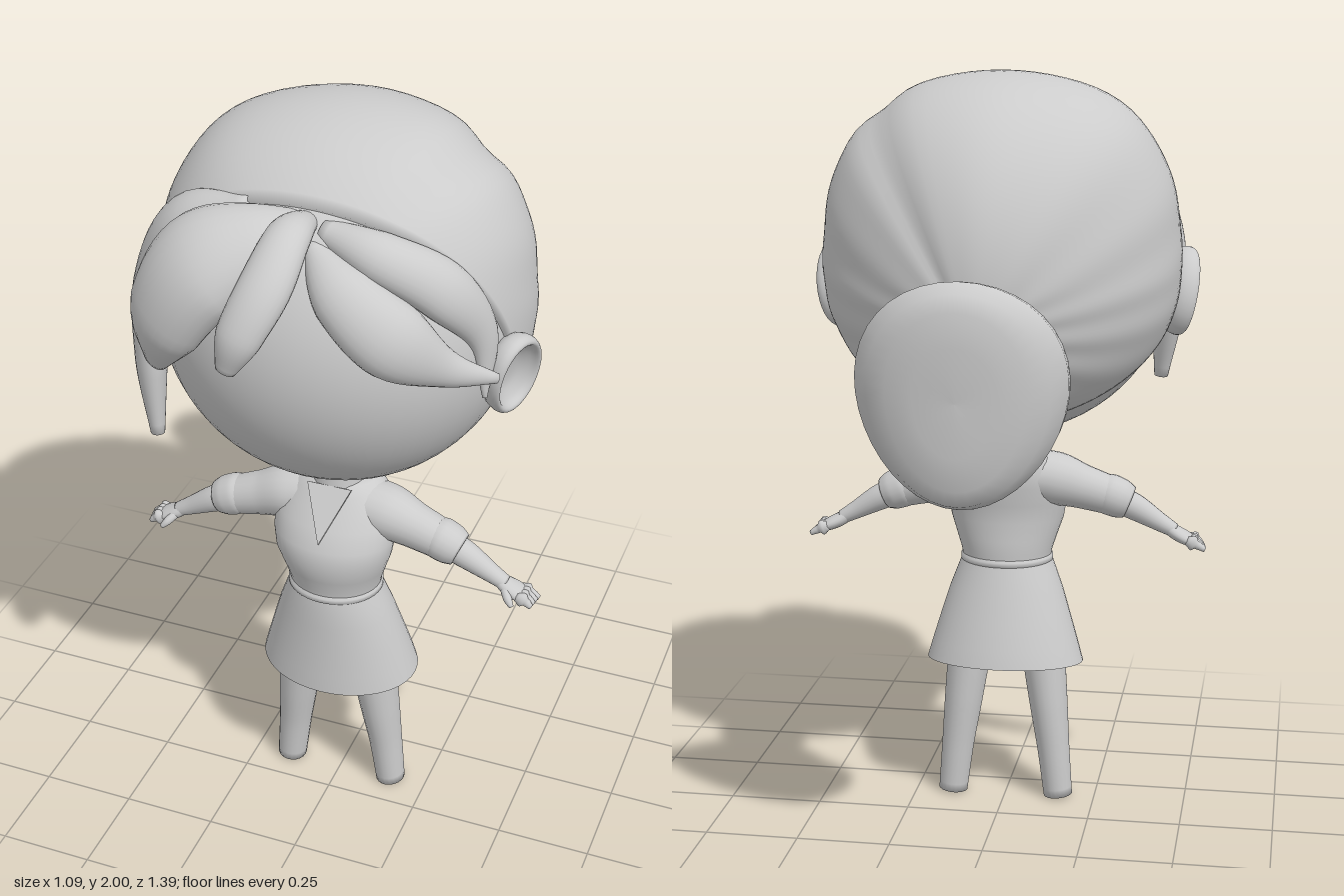
import * as THREE from 'three';

const V = (x, y, z) => new THREE.Vector3(x, y, z);
const material = new THREE.MeshStandardMaterial({ color: 0xcccccc });
const openMaterial = new THREE.MeshStandardMaterial({ color: 0xcccccc, side: THREE.DoubleSide });

function add(group, name, geometry, mat = material) {
  const mesh = new THREE.Mesh(geometry, mat);
  mesh.name = name;
  group.add(mesh);
  return mesh;
}

// Smooth surface through closed rows of points (rows run around the direction of travel)
function skin(rows) {
  const n = rows[0].length, index = [];
  for (let i = 0; i < rows.length - 1; i++) {
    for (let j = 0; j < n; j++) {
      const k = (j + 1) % n, a = i * n + j, b = i * n + k;
      index.push(a, b, a + n, b, b + n, a + n);
    }
  }
  const g = new THREE.BufferGeometry().setFromPoints(rows.flat());
  g.setIndex(index);
  g.computeVertexNormals();
  return g;
}

// One elliptical row around centre c with half-axes u and v
function ring(c, u, v, n = 32) {
  return Array.from({ length: n }, (_, j) => {
    const a = (j / n) * Math.PI * 2;
    return c.clone().addScaledVector(u, Math.cos(a)).addScaledVector(v, Math.sin(a));
  });
}

// Upright body sections [y, zCentre, halfWidth, halfDepth]; tilt slopes the lowest one
function upright(sections, tilt = 0) {
  const rows = sections.map(([y, z, rx, rz]) => ring(V(0, y, z), V(rx, 0, 0), V(0, 0, -rz), 40));
  rows.forEach((row, i) => row.forEach(p => {
    p.y -= tilt * (p.z - sections[i][1]) * (1 - i / (rows.length - 1));
  }));
  return skin(rows);
}

// Swept form: path points, [halfWidth, halfThickness] along it, out(point) = facing direction
function sweep(path, sizes, out, steps = 24, n = 20) {
  const curve = new THREE.CatmullRomCurve3(path.map(p => V(...p)));
  const size = new THREE.CatmullRomCurve3(sizes.map(([w, t]) => V(w, t, 0)));
  const rows = [];
  for (let i = 0; i <= steps; i++) {
    const t = i / steps, c = curve.getPoint(t), dir = curve.getTangent(t), s = size.getPoint(t);
    const u = dir.clone().cross(out(c)).normalize();
    const v = dir.clone().cross(u);
    rows.push(ring(c, u.multiplyScalar(Math.max(s.x, 0)), v.multiplyScalar(Math.max(s.y, 0)), n));
  }
  const first = rows[0].map(() => curve.getPoint(0));
  const last = rows[0].map(() => curve.getPoint(1));
  return skin([first, ...rows, last]);
}

const headCentre = V(0, 1.5, 0.1);
const fromHead = p => p.clone().sub(headCentre).normalize();
const forward = () => V(0, 0, 1);

// Swept-back hair running from the tie to the hairline
function hairCap() {
  const c = V(0, 1.5, 0.08), around = 120, steps = 40, rows = [];
  const radii = d => V(0.47, d.y > 0 ? 0.5 : 0.43, 0.46);
  const tie = V(0, -0.24, -0.97).normalize();
  for (let i = 0; i <= steps + 1; i++) {
    const t = Math.min(i / steps, 1), row = [];
    for (let j = 0; j < around; j++) {
      const a = (j / around) * Math.PI * 2, ca = Math.cos(a);
      const edge = V(-0.45 * Math.sin(a), 0.36 * ca, 0.12 + (ca > 0 ? 0.18 : 0.33) * ca);
      edge.divide(radii(edge)).normalize();
      const w = tie.angleTo(edge);
      const d = tie.clone().multiplyScalar(Math.sin((1 - t) * w))
        .addScaledVector(edge, Math.sin(t * w)).divideScalar(Math.sin(w));
      // fuller upper sides, one parting and faint combed waves
      const part = Math.exp(-(((a - 5.85) / 0.1) ** 2));
      let k = 1 + (d.y > 0 ? 0.28 * d.x * d.x * d.y * d.y : 0);
      k += Math.sin(t * Math.PI) * (0.004 * Math.cos(a * 14) - 0.045 * part);
      if (i > steps) k *= 0.92;
      const p = d.clone().multiply(radii(d)).multiplyScalar(k);
      // narrower towards the tie
      if (d.z < 0) p.x *= 1 - 0.22 * d.z * d.z;
      row.push(p.add(c));
    }
    rows.push(row);
  }
  return skin(rows);
}

export function createModel() {
  const model = new THREE.Group();

  // Head
  const face = add(model, 'face', new THREE.SphereGeometry(1, 48, 36));
  face.scale.set(0.45, 0.45, 0.43);
  face.position.set(0, 1.5, 0.13);
  add(model, 'neck', new THREE.CylinderGeometry(0.062, 0.075, 0.18, 28)).position.set(0, 1.04, 0.15);

  // Hair
  add(model, 'hair', hairCap(), openMaterial);
  const locks = {
    largeFringe: [[[0.03, 1.82, 0.38], [-0.07, 1.8, 0.46], [-0.19, 1.74, 0.51], [-0.275, 1.61, 0.53], [-0.325, 1.47, 0.5]],
      [[0.04, 0.03], [0.1, 0.07], [0.135, 0.09], [0.115, 0.075], [0.04, 0.025]]],
    middleFringe: [[[0.01, 1.83, 0.36], [0.015, 1.845, 0.48], [0, 1.765, 0.59], [-0.04, 1.665, 0.65], [-0.07, 1.58, 0.66]],
      [[0.03, 0.02], [0.052, 0.04], [0.062, 0.045], [0.055, 0.04], [0.025, 0.02]]],
    sideFringe: [[[0.04, 1.8, 0.42], [0.14, 1.72, 0.48], [0.25, 1.63, 0.48], [0.36, 1.53, 0.4], [0.46, 1.48, 0.32]],
      [[0.02, 0.02], [0.075, 0.055], [0.09, 0.06], [0.045, 0.035], [0.012, 0.01]]],
    upperFringe: [[[0.06, 1.82, 0.39], [0.2, 1.79, 0.41], [0.33, 1.71, 0.36], [0.41, 1.57, 0.29], [0.425, 1.41, 0.3]],
      [[0.03, 0.03], [0.06, 0.05], [0.07, 0.05], [0.045, 0.03], [0.006, 0.006]]],
    longSideLock: [[[-0.12, 1.84, 0.38], [-0.3, 1.77, 0.37], [-0.405, 1.57, 0.34], [-0.415, 1.36, 0.35], [-0.4, 1.165, 0.37]],
      [[0.03, 0.03], [0.07, 0.045], [0.065, 0.045], [0.06, 0.04], [0.022, 0.018]]],
  };
  for (const [name, [path, sizes]] of Object.entries(locks)) {
    add(model, name, sweep(path, sizes, fromHead, 28, 24));
  }

  // Ponytail, narrower below and rounded behind: [z, y, halfWidth, halfHeight]
  const tail = [[-0.34, 1.39, 0.08, 0.06], [-0.43, 1.375, 0.085, 0.06], [-0.475, 1.335, 0.135, 0.135],
    [-0.545, 1.3, 0.195, 0.225], [-0.6, 1.29, 0.25, 0.266], [-0.63, 1.29, 0.25, 0.27],
    [-0.665, 1.285, 0.215, 0.25], [-0.682, 1.285, 0.165, 0.21], [-0.69, 1.285, 0.1, 0.13], [-0.685, 1.285, 0, 0]];
  add(model, 'ponytail', skin(tail.map(([z, y, rx, ry]) => {
    const row = ring(V(-0.01, y, z), V(rx, 0, 0), V(0, -ry, 0), 40);
    row.forEach(p => {
      p.z += 0.6 * p.x * p.x - 0.05 * (p.y - y);
      p.x *= 1 + 0.4 * (p.y - y);
    });
    return row;
  })));
  const band = add(model, 'hairTie', new THREE.TorusGeometry(0.082, 0.036, 16, 40));
  band.scale.set(1.12, 0.8, 1);
  band.position.set(0, 1.39, -0.395);
  band.rotation.x = 0.35;

  // Dress
  add(model, 'bodice', upright([[0.68, 0.18, 0.12, 0.108], [0.71, 0.18, 0.125, 0.11], [0.75, 0.185, 0.138, 0.117],
    [0.8, 0.193, 0.155, 0.121], [0.85, 0.187, 0.163, 0.12], [0.9, 0.167, 0.162, 0.112], [0.94, 0.153, 0.15, 0.1],
    [0.975, 0.142, 0.128, 0.088], [1.0, 0.135, 0.1, 0.078], [1.005, 0.145, 0.065, 0.055], [1.0, 0.15, 0, 0]]));
  add(model, 'waistband', upright([[0.674, 0.18, 0.118, 0.105], [0.68, 0.18, 0.127, 0.115],
    [0.692, 0.18, 0.127, 0.115], [0.702, 0.18, 0.118, 0.105]]));
  add(model, 'skirt', upright([[0.4, 0.148, 0.216, 0.157], [0.45, 0.152, 0.202, 0.15], [0.52, 0.16, 0.181, 0.138],
    [0.6, 0.17, 0.156, 0.126], [0.65, 0.177, 0.137, 0.118], [0.69, 0.18, 0.122, 0.11]], 0.09), openMaterial);

  // V neckline insert
  const vee = new THREE.Shape([new THREE.Vector2(-0.06, 0.155), new THREE.Vector2(0, 0), new THREE.Vector2(0.06, 0.155)]);
  const neckline = add(model, 'neckline', new THREE.ExtrudeGeometry(vee, { depth: 0.006, bevelEnabled: false }));
  neckline.position.set(0, 0.87, 0.301);
  neckline.rotation.x = -0.57;

  for (const s of [1, -1]) {
    const side = new THREE.Group();
    side.name = s > 0 ? 'leftSide' : 'rightSide';
    model.add(side);
    const limb = (name, path, sizes, steps) =>
      add(side, name, sweep(path.map(([x, y, z]) => [s * x, y, z]), sizes, forward, steps));

    // Ear with a hollow centre, lobe closer to the head
    const profile = [[0.55, -1], [0.9, -0.3], [1, 0.35], [0.95, 0.75], [0.84, 0.8], [0.7, 0.4], [0.4, 0], [0, -0.1]];
    const ear = add(side, 'ear', new THREE.LatheGeometry(
      new THREE.SplineCurve(profile.map(p => new THREE.Vector2(...p))).getPoints(28), 32));
    ear.rotation.set(0.35, s * -0.4, s * (-Math.PI / 2 - 0.22), 'YXZ');
    ear.scale.set(0.12, 0.045, 0.09);
    ear.position.set(s * 0.448, 1.43, 0.195);

    // Sleeve ending in a soft cuff
    limb('sleeve', [[0.05, 0.925, 0.15], [0.13, 0.915, 0.155], [0.21, 0.892, 0.16], [0.3, 0.865, 0.165]],
      [[0.07, 0.075], [0.072, 0.075], [0.06, 0.06], [0.051, 0.051]]);
    limb('cuff', [[0.262, 0.88, 0.163], [0.284, 0.872, 0.164], [0.312, 0.861, 0.165], [0.336, 0.851, 0.166]],
      [[0.05, 0.05], [0.056, 0.056], [0.054, 0.054], [0.045, 0.045]], 14);

    // Arm, palm, close fingers and thumb
    limb('arm', [[0.26, 0.88, 0.163], [0.35, 0.84, 0.165], [0.42, 0.8, 0.165], [0.46, 0.778, 0.165]],
      [[0.04, 0.04], [0.036, 0.036], [0.025, 0.026], [0.019, 0.022]]);
    limb('palm', [[0.44, 0.788, 0.165], [0.465, 0.772, 0.165], [0.49, 0.76, 0.163], [0.518, 0.748, 0.162]],
      [[0.017, 0.02], [0.019, 0.03], [0.018, 0.034], [0.012, 0.031]], 12);
    for (let f = 0; f < 4; f++) {
      const z = 0.14 + f * 0.015;
      limb('finger', [[0.495, 0.758, z], [0.52, 0.748, z], [0.544 - 0.003 * f, 0.735, z]],
        [[0.012, 0.011], [0.012, 0.011], [0.007, 0.008]], 8);
    }
    limb('thumb', [[0.462, 0.772, 0.18], [0.478, 0.757, 0.202], [0.492, 0.742, 0.212]],
      [[0.012, 0.012], [0.011, 0.011], [0.006, 0.006]], 8);

    // Leg
    limb('leg', [[0.149, 0.003, 0.153], [0.135, 0.14, 0.156], [0.12, 0.27, 0.163], [0.103, 0.42, 0.172], [0.088, 0.58, 0.175]],
      [[0.04, 0.042], [0.045, 0.05], [0.053, 0.062], [0.06, 0.07], [0.06, 0.07]]);
  }
  return model;
}
